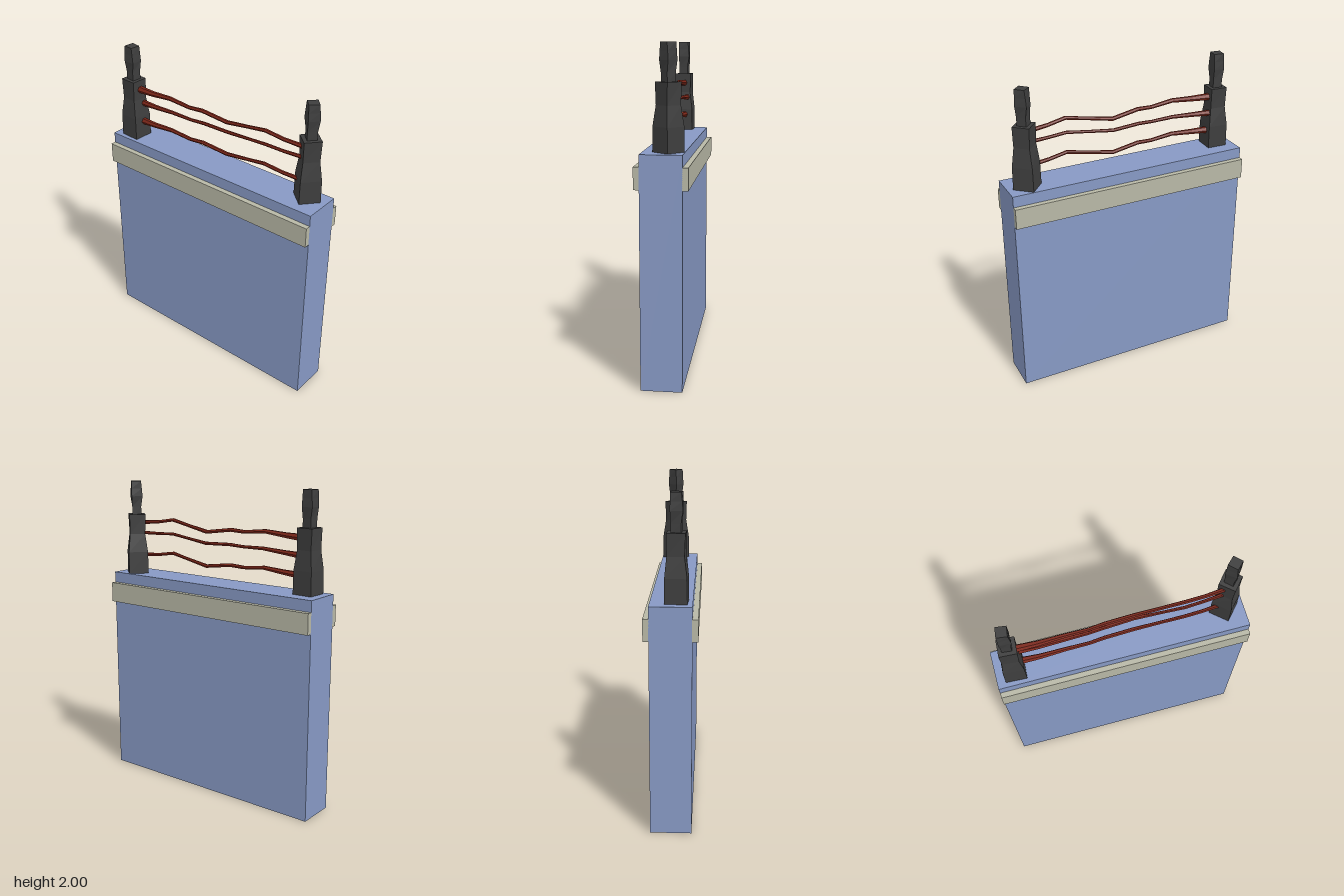
import * as THREE from 'three';

const mat = (color, flat = true) =>
  new THREE.MeshStandardMaterial({ color, flatShading: flat });

// Closed loft along an axis. Each ring is [along, u, v, radius, twist].
function loft(rings, sides, toPoint) {
  const pos = [], index = [];
  for (const [along, u, v, r, twist = 0] of rings) {
    for (let i = 0; i < sides; i++) {
      const a = (i / sides) * Math.PI * 2 + twist;
      pos.push(...toPoint(along, u + r * Math.cos(a), v + r * Math.sin(a)));
    }
  }
  for (let k = 0; k < rings.length - 1; k++) {
    for (let i = 0; i < sides; i++) {
      const a = k * sides + i, b = k * sides + (i + 1) % sides;
      index.push(a, a + sides, b, b, a + sides, b + sides);
    }
  }
  // end caps
  const last = (rings.length - 1) * sides;
  for (let i = 1; i < sides - 1; i++) {
    index.push(0, i, i + 1, last, last + i + 1, last + i);
  }
  const g = new THREE.BufferGeometry();
  g.setAttribute('position', new THREE.Float32BufferAttribute(pos, 3));
  g.setIndex(index);
  const flat = g.toNonIndexed();
  flat.computeVertexNormals();
  return flat;
}

const alongY = (y, x, z) => [x, y, z];
const alongX = (x, z, y) => [x, y, z];

export function createModel() {
  const model = new THREE.Group();
  model.name = 'wallWithWireFence';
  const blue = mat(0x8799c4), stone = mat(0xb8b8a6), iron = mat(0x3e3e3e), rust = mat(0x7c2618);

  const add = (parent, name, geometry, material, x = 0, y = 0, z = 0) => {
    const m = new THREE.Mesh(geometry, material);
    m.name = name;
    m.position.set(x, y, z);
    parent.add(m);
  };

  // wall slab and the raised band on each face
  add(model, 'wall', new THREE.BoxGeometry(1.575, 1.385, 0.245), blue, 0, 0.6925, 0);
  for (const s of [1, -1]) {
    add(model, s > 0 ? 'frontBand' : 'backBand',
      new THREE.BoxGeometry(1.575, 0.13, 0.035), stone, 0, 1.25, s * 0.138);
  }

  // square, slightly twisted posts: thick base, then a thin top piece
  const posts = [
    { name: 'rightPost', x: -0.667, z: 0.03, turn: Math.PI / 4 + 0.05 },
    { name: 'leftPost', x: 0.66, z: -0.028, turn: -0.06 },
  ];
  const base = [[1.385, 0.092, 0], [1.53, 0.09, 0], [1.65, 0.071, 0.04], [1.78, 0.075, 0]];
  const tip = [[1.775, 0.042, 0.05], [1.83, 0.042, 0.08], [1.9, 0.051, -0.05], [1.95, 0.048, 0], [2, 0.045, 0.08]];
  for (const p of posts) {
    const post = new THREE.Group();
    post.name = p.name;
    model.add(post);
    const rings = (rows) => rows.map(([y, r, t]) => [y, p.x, p.z, r, p.turn + t]);
    add(post, 'postBase', loft(rings(base), 4, alongY), iron);
    add(post, 'postTip', loft(rings(tip), 4, alongY), iron);
  }

  // bent wires, thicker at one end: shared bend, scaled for each wire
  const bend = [ // x, y offset, z, radius
    [-0.62, -0.005, 0.018, 0.023], [-0.5, 0, 0.024, 0.018], [-0.35, 0.012, 0.025, 0.014],
    [-0.2, -0.003, 0.02, 0.012], [-0.1, 0.003, 0.013, 0.013], [0.08, -0.022, -0.002, 0.013],
    [0.25, 0.008, 0.01, 0.011], [0.38, 0.032, 0.02, 0.012], [0.5, 0.012, 0.009, 0.012],
    [0.62, 0.003, -0.004, 0.014],
  ];
  const wires = [ // height, bend amount, rise per x, z shift, radius scale
    ['topWire', 1.722, 1, 0, 0.008, 1],
    ['middleWire', 1.636, 0.45, 0.03, -0.01, 0.85],
    ['bottomWire', 1.501, 0.95, 0.005, 0.002, 0.95],
  ];
  for (const [name, y, amount, rise, dz, scale] of wires) {
    const rings = bend.map(([x, dy, z, r]) =>
      [x, z + dz * (0.62 - x), y + dy * amount + rise * x, r * scale]);
    add(model, name, loft(rings, 6, alongX), rust);
  }
  return model;
}
